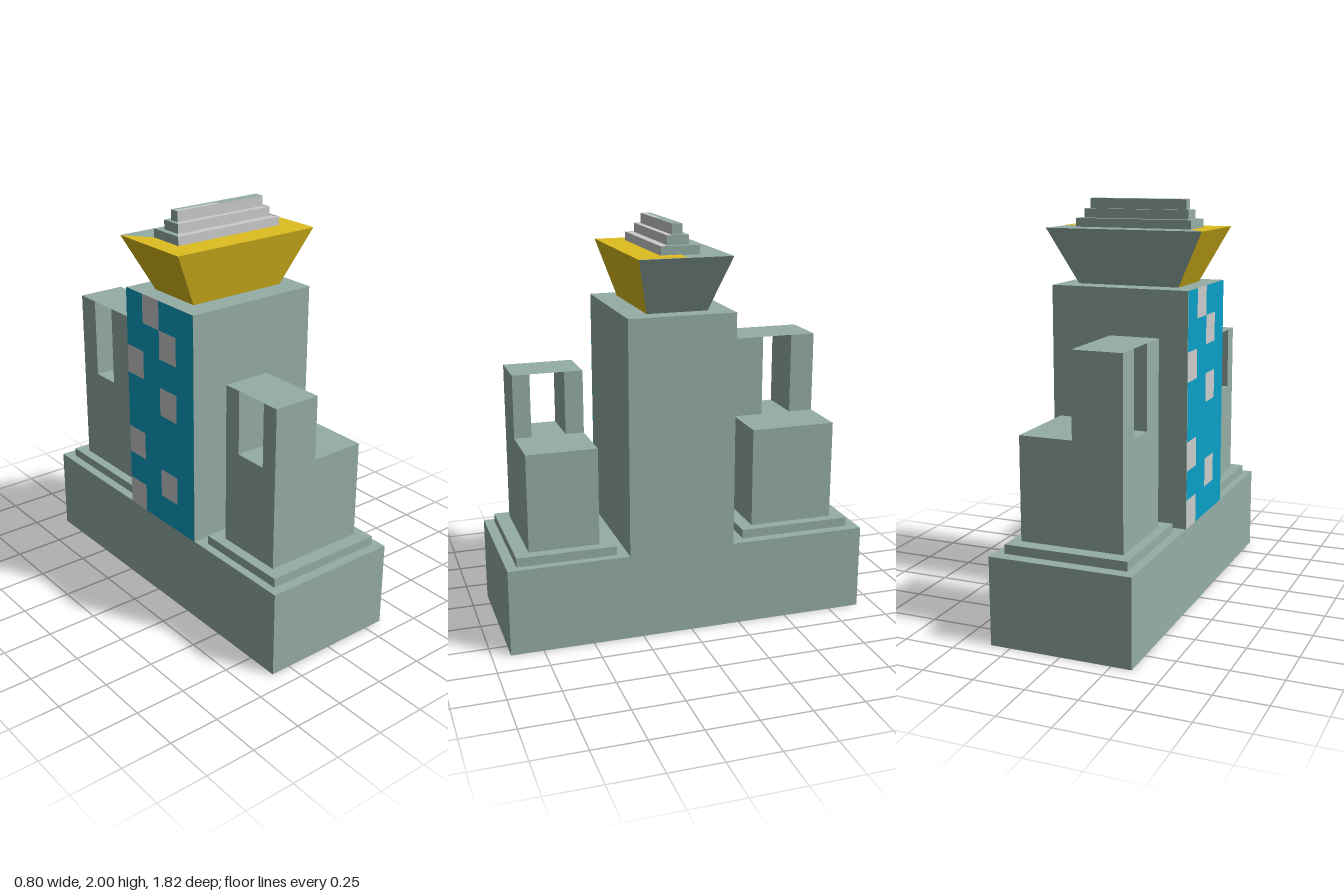
import * as THREE from 'three';

const mat = (color) => new THREE.MeshStandardMaterial({ color, flatShading: true, side: THREE.DoubleSide });

export function createModel() {
  const model = new THREE.Group();
  const stone = mat(0x95aea5), gold = mat(0xdebd1e), blue = mat(0x0aa0c8), grey = mat(0xcccccc);

  const group = (name) => {
    const g = new THREE.Group();
    g.name = name;
    model.add(g);
    return g;
  };

  // Box given by its extents on each axis
  const box = (parent, name, [x0, x1], [y0, y1], [z0, z1]) => {
    const mesh = new THREE.Mesh(new THREE.BoxGeometry(x1 - x0, y1 - y0, z1 - z0), stone);
    mesh.position.set((x0 + x1) / 2, (y0 + y1) / 2, (z0 + z1) / 2);
    mesh.name = name;
    parent.add(mesh);
  };

  // Flat four-cornered face, corners counter-clockwise from outside
  const quad = (parent, name, material, a, b, c, d) => {
    const geo = new THREE.BufferGeometry();
    geo.setAttribute('position', new THREE.Float32BufferAttribute([a, b, c, a, c, d].flat(), 3));
    geo.computeVertexNormals();
    const mesh = new THREE.Mesh(geo, material);
    mesh.name = name;
    parent.add(mesh);
  };

  // Base and main tower
  box(model, 'base', [-0.35, 0.35], [0, 0.43], [-0.91, 0.91]);
  box(model, 'mainTower', [-0.35, 0.35], [0.43, 1.59], [-0.215, 0.315]);

  // Side facade: 4 x 8 cells, blue with a few grey windows
  const facade = group('facade');
  const windows = [1, 2, 0, 2, -1, 0, 2, 0]; // window column in each row, top down
  const cw = 0.53 / 4, ch = 1.16 / 8, fx = -0.352;
  windows.forEach((column, row) => {
    const top = 1.59 - row * ch, bottom = top - ch;
    for (let i = 0; i < 4; i++) {
      const z0 = -0.215 + i * cw, z1 = z0 + cw;
      const lit = i === column;
      quad(facade, lit ? 'window' : 'wallPanel', lit ? grey : blue,
        [fx, bottom, z0], [fx, bottom, z1], [fx, top, z1], [fx, top, z0]);
    }
  });

  // Stepped side building: plinth, low block, two piers and a thin roof across the gap
  const building = (name, p) => {
    const g = group(name);
    const [x0, xm, x1] = p.x, [z0, g0, g1, z1] = p.z, [low, high] = p.y;
    box(g, 'plinth', p.plinthX, [0.43, 0.475], p.plinthZ);
    box(g, 'lowBlock', [x0, x1], [0.475, low], [z0, z1]);
    box(g, 'backPier', [x0, xm], [low, high], [z0, g0]);
    box(g, 'frontPier', [x0, xm], [low, high], [g1, z1]);
    quad(g, 'roof', stone, [x0, high, g1], [xm, high, g1], [xm, high, g0], [x0, high, g0]);
  };
  building('frontBuilding', {
    x: [-0.26, -0.02, 0.257], z: [0.443, 0.535, 0.705, 0.79], y: [0.96, 1.275],
    plinthX: [-0.31, 0.31], plinthZ: [0.37, 0.86],
  });
  building('rearBuilding', {
    x: [-0.257, -0.012, 0.25], z: [-0.78, -0.655, -0.5, -0.35], y: [0.975, 1.382],
    plinthX: [-0.305, 0.3], plinthZ: [-0.85, -0.283],
  });

  // Flared crown and stepped cap, from a chain of rectangles: half width, back z, front z, height
  const levels = [
    [0.26, -0.1, 0.2, 1.59], [0.4, -0.177, 0.275, 1.862],
    [0.3, -0.045, 0.142, 1.862], [0.3, -0.045, 0.142, 1.905],
    [0.272, -0.003, 0.103, 1.905], [0.272, -0.003, 0.103, 1.95],
    [0.252, 0.024, 0.074, 1.95], [0.252, 0.024, 0.074, 2],
  ];
  const corners = ([x, z0, z1, y]) => [[-x, y, z1], [x, y, z1], [x, y, z0], [-x, y, z0]];
  const sides = ['Front', 'Left', 'Back', 'Right'];
  const crown = group('crown'), cap = group('cap');
  for (let k = 0; k < levels.length - 1; k++) {
    const a = corners(levels[k]), b = corners(levels[k + 1]);
    const isCrown = k < 2;
    sides.forEach((side, i) => {
      const j = (i + 1) % 4;
      let material = stone;
      if (isCrown && (i === 0 || i === 3)) material = gold;
      if (!isCrown && i === 0) material = grey;
      quad(isCrown ? crown : cap, (isCrown ? 'crown' : 'step') + side, material, a[i], a[j], b[j], b[i]);
    });
  }
  quad(cap, 'capTop', stone, ...corners(levels[7]));

  // Coloured patches on the crown rim and cap top
  const patch = (parent, name, material, [x0, x1], [z0, z1], y) =>
    quad(parent, name, material, [x0, y, z1], [x1, y, z1], [x1, y, z0], [x0, y, z0]);
  patch(crown, 'rimPatch', gold, [0.3, 0.4], [0.045, 0.274], 1.864);
  patch(cap, 'capPatch', grey, [-0.252, -0.012], [0.049, 0.074], 2.001);

  return model;
}
